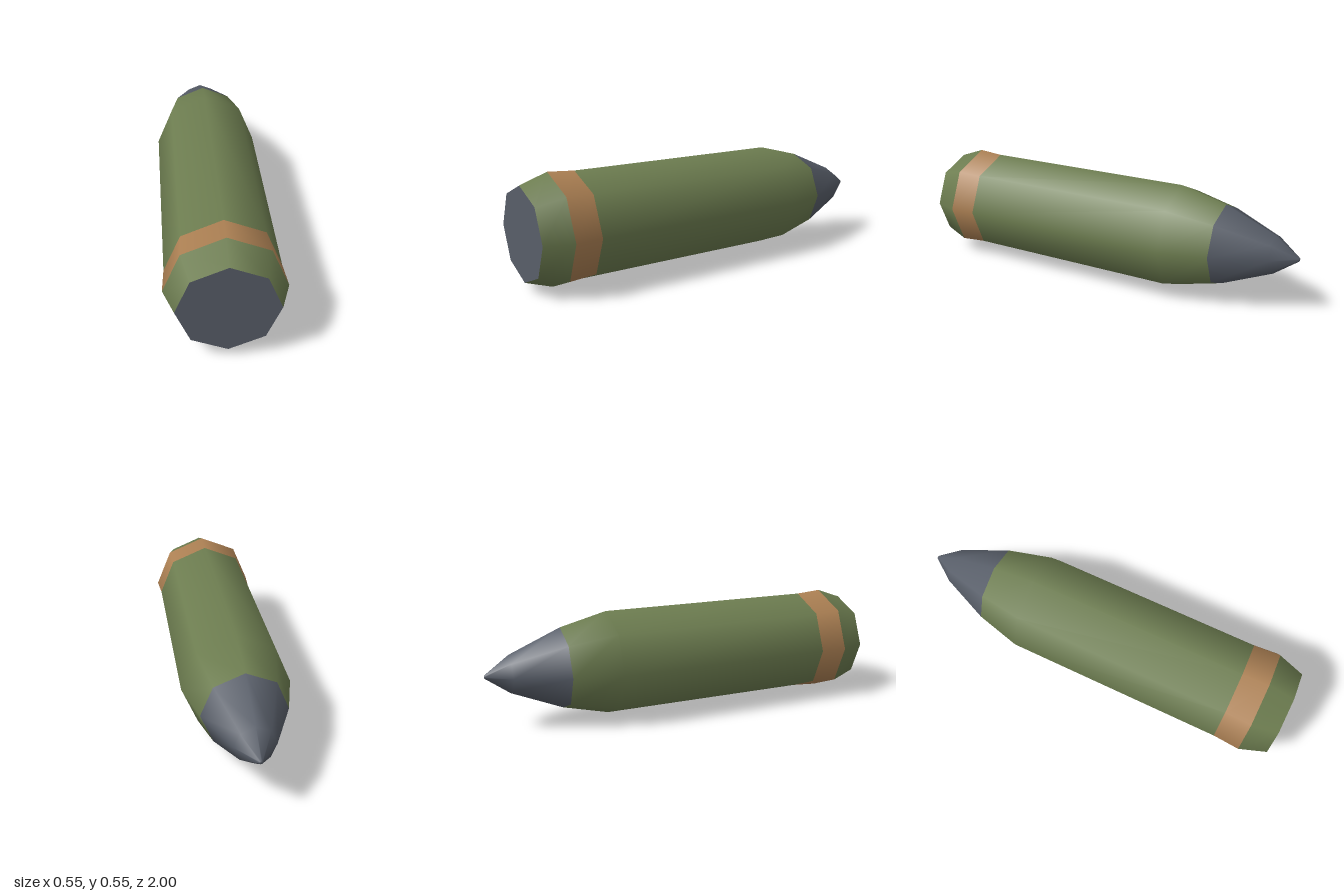
import * as THREE from 'three';

const SIDES = 8;
const RADIUS = 0.275;

function material(name, color) {
  const m = new THREE.MeshStandardMaterial({ color });
  m.name = name;
  return m;
}

// Turned section along z; profile is [radius, z] from back to front
function section(name, profile, mat) {
  const points = profile.map(([r, z]) => new THREE.Vector2(r, z));
  const geometry = new THREE.LatheGeometry(points, SIDES).rotateX(Math.PI / 2);
  const mesh = new THREE.Mesh(geometry, mat);
  mesh.name = name;
  return mesh;
}

export function createModel() {
  const green = material('olive green', 0x6d7d50);
  const copper = material('copper', 0xac8053);
  const steel = material('dark steel', 0x585e69);

  const shell = new THREE.Group();
  shell.name = 'shell';
  shell.position.y = RADIUS;

  // Pointed fuse at the back, with a tiny blunt tip
  shell.add(section('noseFuse', [[0, -1], [0.008, -1], [0.096, -0.88], [0.205, -0.625]], steel));

  // Tapered shoulder and straight casing
  shell.add(section('casing', [[0.205, -0.625], [0.265, -0.39], [0.265, 0.73]], green));

  // Slightly flared driving band
  shell.add(section('drivingBand', [[0.265, 0.73], [RADIUS, 0.865]], copper));

  // Tail taper and flat base
  shell.add(section('tailTaper', [[RADIUS, 0.865], [0.228, 1]], green));
  const base = new THREE.Mesh(new THREE.CircleGeometry(0.228, SIDES), steel);
  base.name = 'basePlate';
  base.position.z = 1;
  shell.add(base);

  const model = new THREE.Group();
  model.name = 'artilleryShell';
  model.add(shell);
  return model;
}
